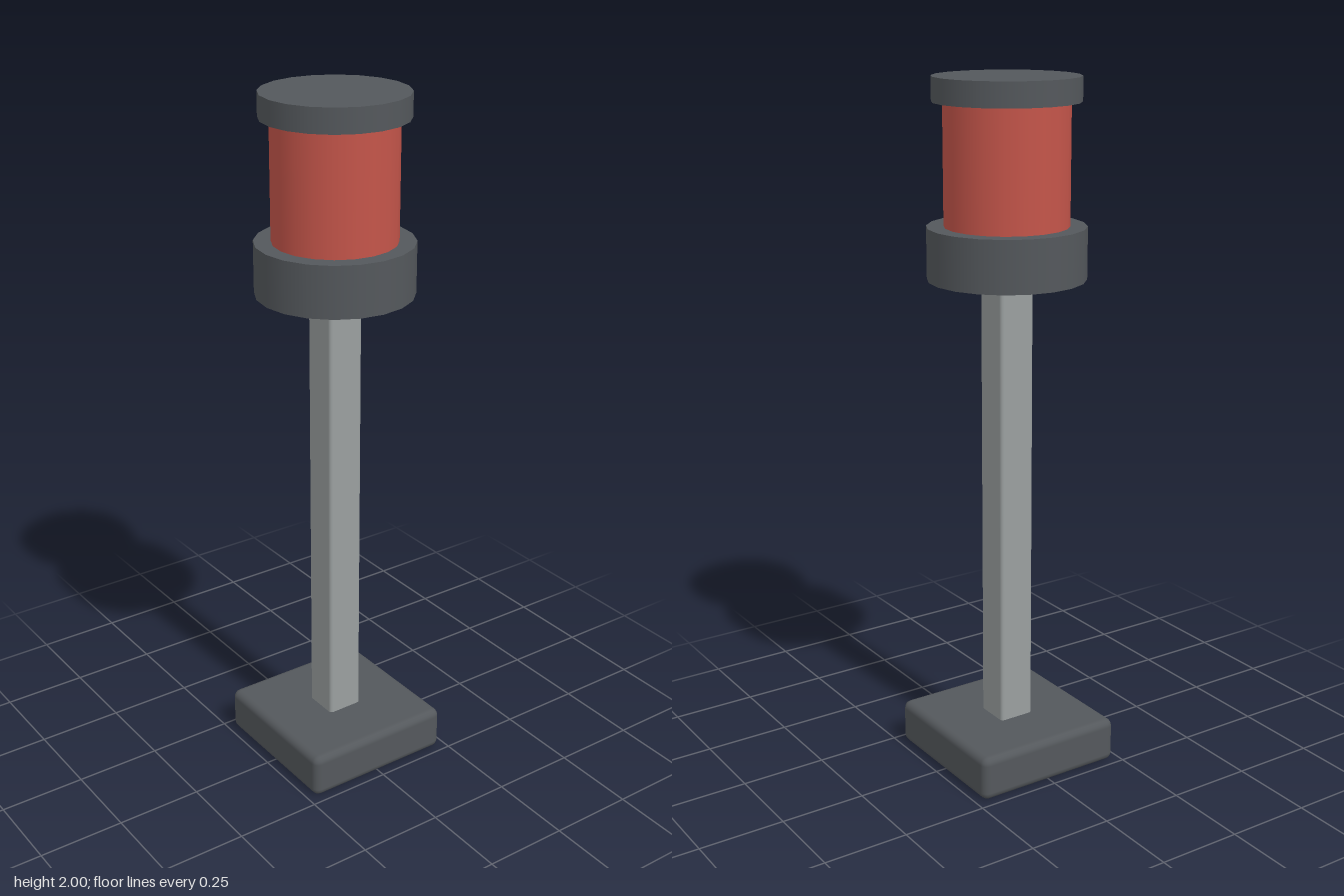
import * as THREE from 'three';
import { RoundedBoxGeometry } from 'three/addons/geometries/RoundedBoxGeometry.js';

const mat = (name, color) => Object.assign(new THREE.MeshStandardMaterial({ color }), { name });

export function createModel() {
  const group = new THREE.Group();
  group.name = 'signalBeacon';
  const dark = mat('dark grey', 0x54585c);
  const steel = mat('steel grey', 0x9a9f9f);
  const red = mat('lamp red', 0xc4554a);

  // Adds a part standing between two heights
  const add = (name, geometry, material, bottom, top) => {
    const mesh = new THREE.Mesh(geometry, material);
    mesh.name = name;
    mesh.position.y = (bottom + top) / 2;
    group.add(mesh);
  };
  const block = (name, width, radius, material, bottom, top) =>
    add(name, new RoundedBoxGeometry(width, top - bottom, width, 2, radius), material, bottom, top);
  const drum = (name, radius, material, bottom, top) =>
    add(name, new THREE.CylinderGeometry(radius, radius, top - bottom, 20), material, bottom, top);

  // Foot and post
  block('base', 0.46, 0.022, dark, 0.005, 0.132);
  block('post', 0.108, 0.01, steel, 0.1, 1.47);

  // Lamp head
  drum('collar', 0.222, dark, 1.45, 1.597);
  drum('lens', 0.174, red, 1.59, 1.94);
  drum('cap', 0.204, dark, 1.932, 2);

  // Keep the foot on the ground
  group.children[0].position.y -= 0.005;
  group.children[0].scale.y = 0.132 / 0.127;
  group.children[0].position.y = 0.066;
  return group;
}
